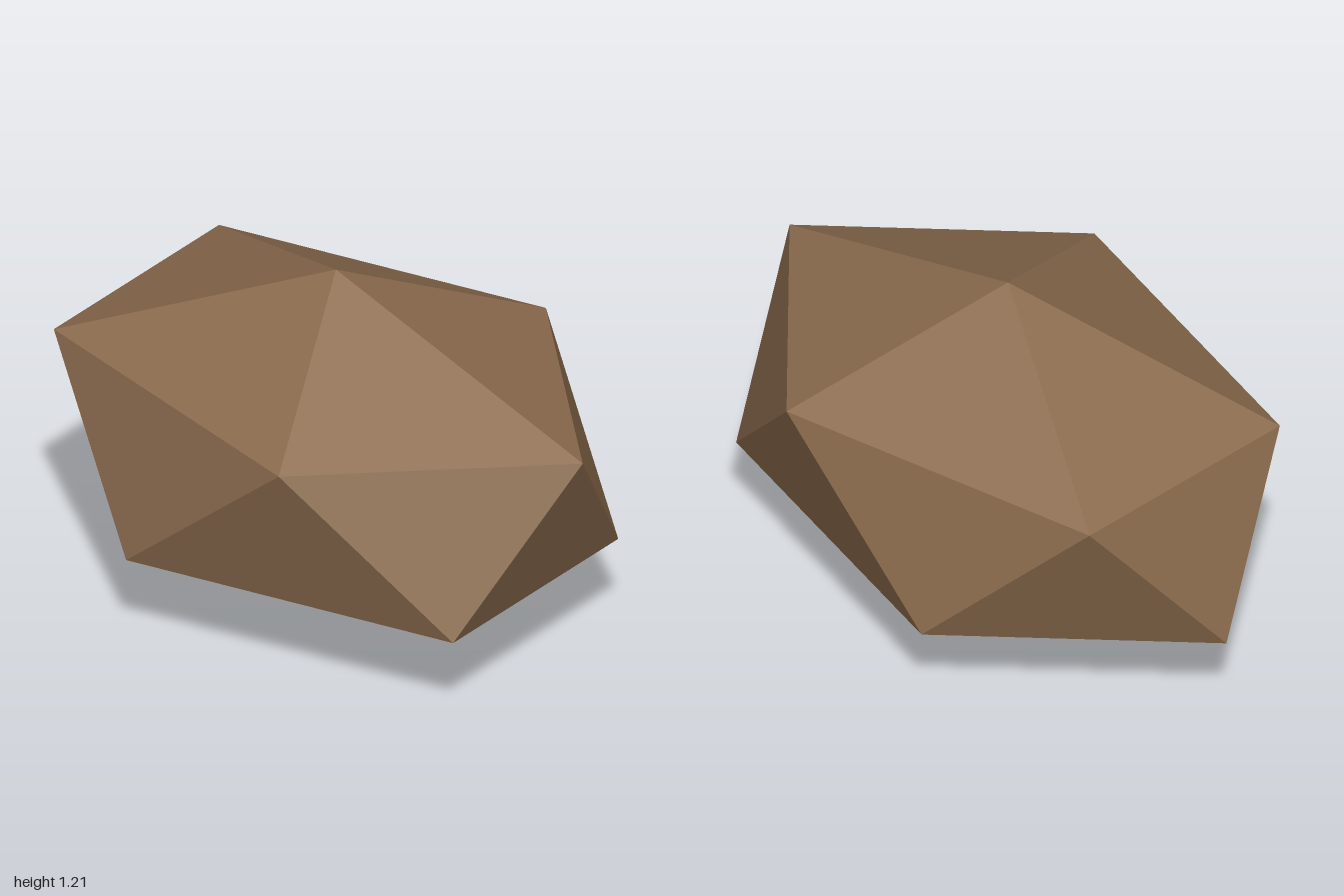
import * as THREE from 'three';

const SIDES = 5;
const HALF_WIDTH = 1;
const HALF_DEPTH = 0.7;

// Point on a five-sided elliptical ring; half steps give the staggered ring
function ringPoint(step, y) {
  const a = (step / SIDES) * Math.PI * 2;
  return [Math.cos(a) * HALF_WIDTH, y, Math.sin(a) * HALF_DEPTH];
}

export function createModel() {
  const group = new THREE.Group();
  group.name = 'rock';

  const brown = new THREE.MeshStandardMaterial({ color: 0x8b6b4d });
  brown.name = 'earth brown';

  // Two staggered rings capped by a point above and below
  const top = [0, 1.205, 0];
  const bottom = [0, 0, 0];
  const positions = [];
  const tri = (...corners) => corners.forEach((c) => positions.push(...c));

  for (let i = 0; i < SIDES; i++) {
    const u0 = ringPoint(i, 0.872);
    const u1 = ringPoint(i + 1, 0.872);
    const l0 = ringPoint(i + 0.5, 0.333);
    const l1 = ringPoint(i + 1.5, 0.333);
    tri(top, u1, u0); // upper cap
    tri(u0, u1, l0); // downward pointing side
    tri(u1, l1, l0); // upward pointing side
    tri(bottom, l0, l1); // lower cap
  }

  // Unshared corners give every facet its own flat normal
  const geometry = new THREE.BufferGeometry();
  geometry.setAttribute('position', new THREE.Float32BufferAttribute(positions, 3));
  geometry.computeVertexNormals();

  const stone = new THREE.Mesh(geometry, brown);
  stone.name = 'facetedStone';
  group.add(stone);
  return group;
}
